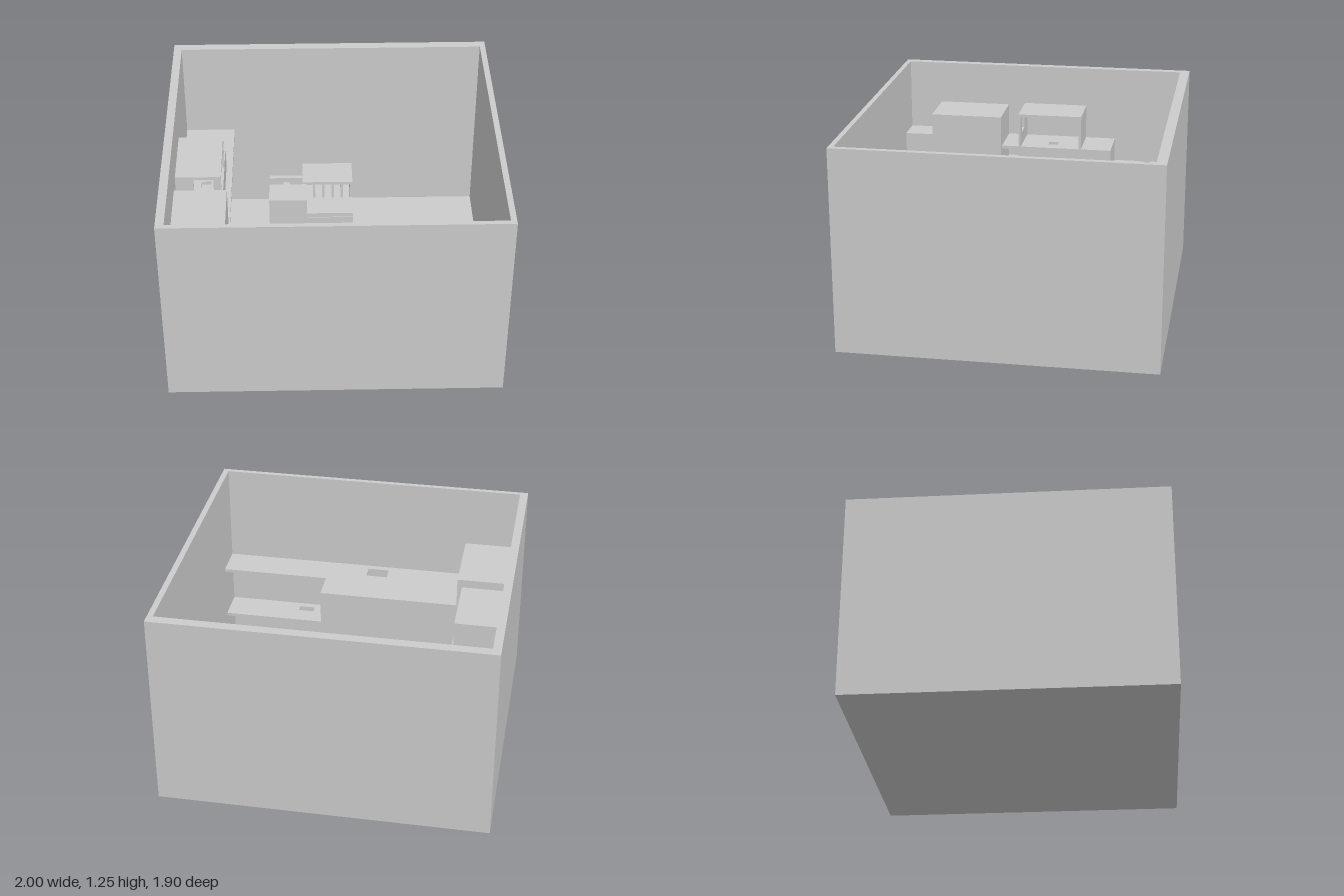
import * as THREE from 'three';

const material = new THREE.MeshStandardMaterial({ color: 0xcccccc, flatShading: true });

export function createModel() {
  const model = new THREE.Group();
  model.name = 'walledYard';

  const add = (name, geometry) => {
    const mesh = new THREE.Mesh(geometry, material);
    mesh.name = name;
    model.add(mesh);
  };

  // Box given by its limits on each axis
  const block = (name, [x0, x1], [y0, y1], [z0, z1]) =>
    add(name, new THREE.BoxGeometry(x1 - x0, y1 - y0, z1 - z0)
      .translate((x0 + x1) / 2, (y0 + y1) / 2, (z0 + z1) / 2));

  const rect = ([x0, x1], [z0, z1]) => [[x0, z0], [x1, z0], [x1, z1], [x0, z1]];
  const points = (list) => list.map(([x, z]) => new THREE.Vector2(x, z));

  // Horizontal plate from an x,z outline, with openings, hanging down from its top
  const plate = (name, outline, top, depth, holes = []) => {
    const shape = new THREE.Shape(points(outline));
    holes.forEach((h) => shape.holes.push(new THREE.Path(points(h))));
    const geometry = new THREE.ExtrudeGeometry(shape, { depth, bevelEnabled: false });
    add(name, geometry.rotateX(Math.PI / 2).translate(0, top, 0));
  };

  // Enclosure: floor and four walls
  const floor = 0.04;
  const inX = [-0.95, 0.965], inZ = [-0.89, 0.92];
  block('floor', [-1, 1], [0, floor], [-0.95, 0.95]);
  plate('outerWalls', rect([-1, 1], [-0.95, 0.95]), 1.25, 1.25 - floor, [rect(inX, inZ)]);

  // Balcony along the side wall, with a stair opening
  const deck = 0.625, t = 0.02;
  plate('sideBalcony', rect([-0.95, -0.635], [-0.89, 0.71]), deck, t,
    [rect([-0.945, -0.775], [-0.715, -0.64])]);

  // Balcony along the front wall, wider over the front room
  plate('frontBalcony',
    [[-0.95, 0.71], [-0.635, 0.71], [-0.635, 0.52], [0.28, 0.52], [0.28, 0.71], [0.965, 0.71], [0.965, 0.92], [-0.95, 0.92]],
    deck, t, [rect([-0.115, 0.02], [0.79, 0.88])]);
  plate('frontLowerDeck', rect(inX, [0.71, 0.92]), 0.28, t, [rect([0.39, 0.49], [0.83, 0.88])]);
  block('frontRoomWall', [-0.635, 0.28], [floor, deck - t], [0.52, 0.54]);
  for (const x of [-0.635, 0.26]) {
    block('frontRoomSide', [x, x + 0.02], [floor, deck - t], [0.54, 0.71]);
  }

  // Lookout: lower room on the side balcony
  const hx = [-0.95, -0.675], mid = 0.775, roof = 0.995;
  block('lowerRoomBackWall', hx, [deck, mid - t], [-0.47, -0.455]);
  block('lowerRoomSideWall', [-0.69, -0.675], [deck, mid - t], [-0.455, 0.14]);
  plate('lowerRoomRoof', rect(hx, [-0.47, 0.25]), mid, t, [rect([-0.81, -0.75], [-0.11, -0.05])]);

  // Lookout: upper room, open at the side
  plate('upperRoomRoof', rect(hx, [-0.275, 0.14]), roof, t);
  block('upperRoomBackWall', hx, [mid, roof - t], [-0.275, -0.26]);
  block('upperRoomFrontWall', [-0.95, -0.84], [mid, roof - t], [0.125, 0.14]);
  block('upperRoomSill', [-0.84, -0.72], [mid, 0.86], [0.125, 0.14]);
  block('upperRoomPost', [-0.72, -0.675], [mid, roof - t], [0.125, 0.14]);

  // Neighbouring tower and its low corner block
  block('sideTower', [-0.95, -0.635], [deck, 0.98], [0.25, 0.71]);
  block('cornerBlock', [-0.95, -0.77], [deck, 0.8], [0.71, 0.92]);

  // Free-standing house in the yard
  block('houseBase', [-0.4, 0.135], [floor, 0.4], [-0.59, -0.215]);
  plate('houseMainRoof', rect([-0.185, 0.135], [-0.59, -0.385]), 0.555, t);
  block('houseMainBackWall', [-0.185, 0.135], [0.4, 0.535], [-0.59, -0.575]);
  for (const x of [-0.185, 0.12]) {
    block('houseMainSideWall', [x, x + 0.015], [0.4, 0.535], [-0.575, -0.385]);
  }
  for (let i = 0; i < 4; i++) {
    const x = -0.12 + i * 0.06;
    block('houseWindowPost', [x, x + 0.015], [0.4, 0.535], [-0.4, -0.385]);
  }
  block('houseRearStep', [-0.4, -0.185], [0.4, 0.46], [-0.59, -0.455]);
  block('houseParapetLeft', [-0.4, -0.31], [0.4, 0.55], [-0.455, -0.44]);
  block('houseParapetRight', [-0.27, -0.185], [0.4, 0.55], [-0.455, -0.44]);
  block('houseParapetTop', [-0.31, -0.27], [0.52, 0.55], [-0.455, -0.44]);
  block('houseFrontWing', [-0.4, -0.16], [0.4, 0.54], [-0.385, -0.215]);
  block('houseFrontTerrace', [-0.16, 0.135], [0.4, 0.43], [-0.385, -0.22]);

  return model;
}
